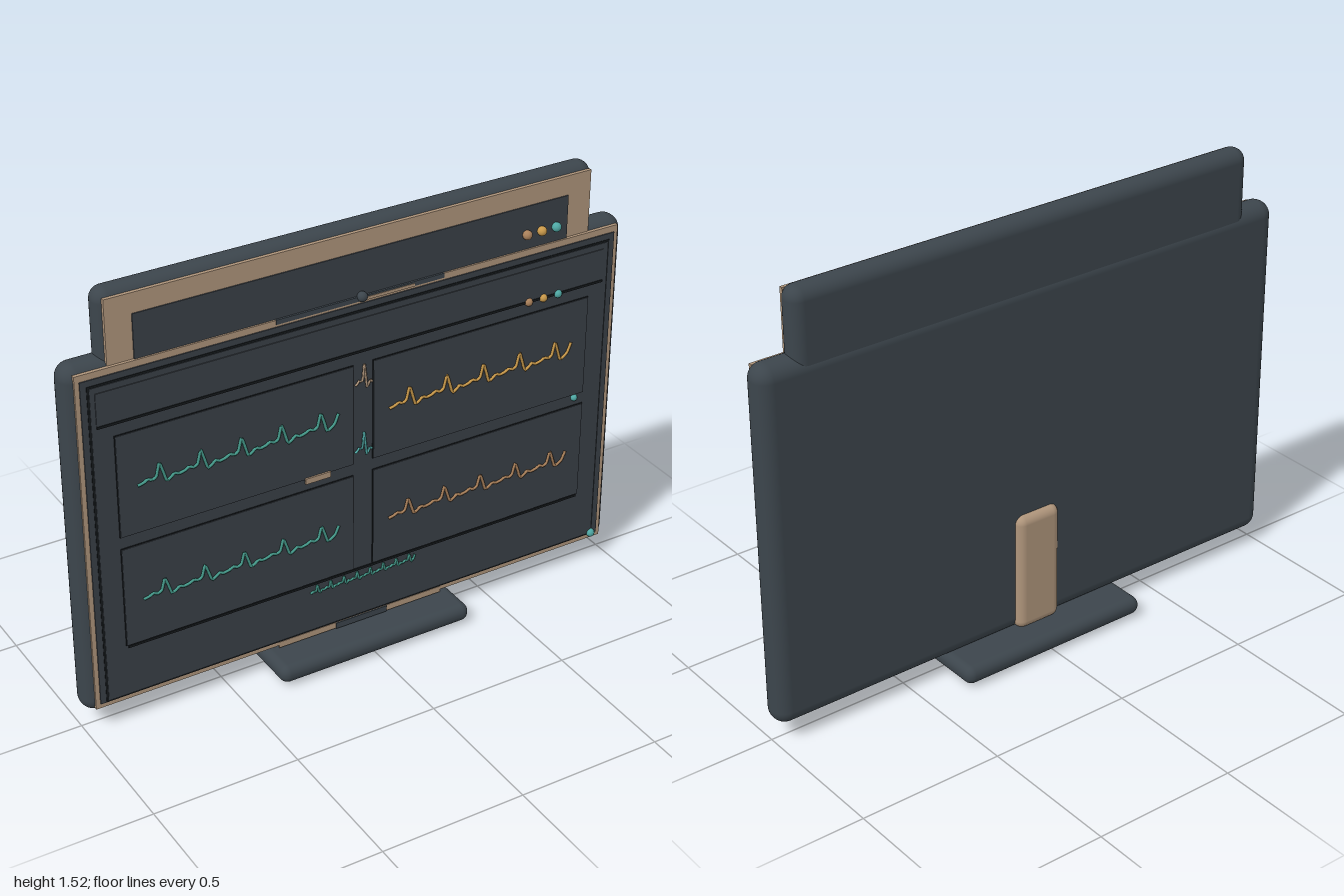
import * as THREE from 'three';
import { RoundedBoxGeometry } from 'three/addons/geometries/RoundedBoxGeometry.js';

const material = (name, color) => {
  const m = new THREE.MeshStandardMaterial({ color });
  m.name = name;
  return m;
};

// One heartbeat: [fraction of the beat, height as a share of the spike]
const BEAT = [[0, 0], [0.15, 0.08], [0.25, 0.22], [0.36, 0.1], [0.46, 0.25], [0.54, 1],
  [0.63, 0.35], [0.7, -0.2], [0.8, -0.08], [0.9, 0.12]];

export function createModel() {
  const model = new THREE.Group();
  model.name = 'monitor';
  const casing = material('casing slate', 0x3c454c);
  const screen = material('screen charcoal', 0x3a4047);
  const line = material('line black', 0x15191c);
  const tan = material('trim tan', 0xb0967c);
  const teal = material('light teal', 0x4fa8a4);
  const green = material('trace green', 0x459a8b);
  const gold = material('trace gold', 0xc9994a);
  const copper = material('trace copper', 0xa9805a);

  const add = (name, geometry, mat) => {
    const mesh = new THREE.Mesh(geometry, mat);
    mesh.name = name;
    model.add(mesh);
    return mesh;
  };
  // Boxes given by their limits on each axis
  const box = (name, mat, x0, x1, y0, y1, z0, z1) =>
    add(name, new THREE.BoxGeometry(x1 - x0, y1 - y0, z1 - z0), mat)
      .position.set((x0 + x1) / 2, (y0 + y1) / 2, (z0 + z1) / 2);
  const rounded = (name, mat, x0, x1, y0, y1, z0, z1, r) =>
    add(name, new RoundedBoxGeometry(x1 - x0, y1 - y0, z1 - z0, 5, r), mat)
      .position.set((x0 + x1) / 2, (y0 + y1) / 2, (z0 + z1) / 2);
  const bead = (name, mat, x, y, z, r) =>
    add(name, new THREE.SphereGeometry(r, 16, 12), mat).position.set(x, y, z);

  // Casings, neck and base
  rounded('mainCasing', casing, -1, 1, 0.064, 1.305, -0.056, 0.048, 0.05);
  rounded('upperCasing', casing, -0.875, 0.875, 1.0, 1.52, -0.052, 0.036, 0.042);
  rounded('rearNeck', tan, -0.085, 0.085, 0.07, 0.495, -0.08, 0, 0.03);
  rounded('base', casing, -0.36, 0.36, 0.012, 0.075, -0.17, 0.168, 0.03);
  rounded('baseStrip', tan, -0.31, 0.31, 0.003, 0.04, -0.025, 0.02, 0.015);

  // Upper display
  box('upperBezel', tan, -0.857, 0.857, 1.2, 1.5, 0.03, 0.042);
  box('upperScreen', screen, -0.77, 0.77, 1.2, 1.433, 0.04, 0.046);

  // Main display layers
  box('mainBezel', tan, -0.968, 0.968, 0.088, 1.284, 0.04, 0.052);
  box('mainFrame', screen, -0.953, 0.953, 0.105, 1.262, 0.05, 0.056);
  box('screenOutline', line, -0.933, 0.933, 0.107, 1.242, 0.052, 0.058);
  box('mainScreen', screen, -0.926, 0.926, 0.114, 1.235, 0.054, 0.06);
  box('topStrip', casing, -0.3, 0.3, 1.27, 1.286, 0.048, 0.055);
  box('topStripInlay', tan, 0, 0.19, 1.27, 1.28, 0.05, 0.057);
  box('bottomStrip', tan, -0.31, 0.31, 0.08, 0.102, 0.048, 0.054);
  box('bottomStripCentre', casing, -0.097, 0.097, 0.08, 0.102, 0.049, 0.058);

  // Header, dividers and the four trace panels
  box('header', screen, -0.91, 0.91, 1.105, 1.215, 0.058, 0.063);
  box('headerLine', line, -0.91, 0.91, 1.096, 1.104, 0.058, 0.064);
  box('footerLine', line, -0.85, 0.85, 0.288, 0.296, 0.058, 0.064);
  for (const side of [-1, 1]) {
    for (const [y0, y1] of [[0.3, 0.655], [0.7, 1.055]]) {
      const x0 = side < 0 ? -0.855 : 0.038;
      box('tracePanelEdge', line, x0 - 0.002, x0 + 0.819, y0 - 0.002, y1 + 0.002, 0.057, 0.0635);
      box('tracePanel', screen, x0, x0 + 0.817, y0, y1, 0.058, 0.066);
    }
  }
  box('readoutBar', tan, -0.214, -0.123, 0.685, 0.705, 0.064, 0.072);

  // Heartbeat traces
  const trace = (name, mat, x0, x1, y, height, beats, z, r) => {
    const step = (x1 - x0) / beats;
    const points = [];
    for (let i = 0; i < beats; i++) {
      for (const [t, h] of BEAT) points.push(new THREE.Vector3(x0 + (i + t) * step, y + h * height, z));
    }
    points.push(new THREE.Vector3(x1, y + height * (beats > 4 ? 0.7 : 0), z));
    const curve = new THREE.CatmullRomCurve3(points, false, 'catmullrom', 0.2);
    add(name, new THREE.TubeGeometry(curve, beats * 30, r, 6), mat);
  };
  trace('upperLeftTrace', green, -0.795, -0.095, 0.87, 0.058, 5.0, 0.073, 0.005);
  trace('upperRightTrace', gold, 0.09, 0.79, 0.87, 0.058, 5, 0.073, 0.005);
  trace('lowerLeftTrace', green, -0.795, -0.095, 0.458, 0.052, 5, 0.073, 0.005);
  trace('lowerRightTrace', copper, 0.09, 0.79, 0.458, 0.052, 5, 0.073, 0.005);
  trace('footerTrace', green, -0.2, 0.2, 0.26, 0.026, 8, 0.066, 0.004);
  trace('upperCentreTrace', tan, -0.032, 0.03, 0.985, 0.072, 1, 0.067, 0.004);
  trace('lowerCentreTrace', teal, -0.032, 0.03, 0.74, 0.072, 1, 0.067, 0.004);

  // Indicator lights and camera
  [copper, gold, teal].forEach((mat, i) => {
    bead('upperLight', mat, 0.61 + i * 0.056, 1.338, 0.055, 0.016);
    bead('headerLight', mat, 0.62 + i * 0.057, 1.1, 0.062, 0.014);
  });
  bead('powerLight', teal, 0.926, 0.113, 0.06, 0.015);
  bead('panelLight', teal, 0.82, 0.688, 0.064, 0.012);
  bead('camera', casing, 0, 1.286, 0.057, 0.017);

  return model;
}
